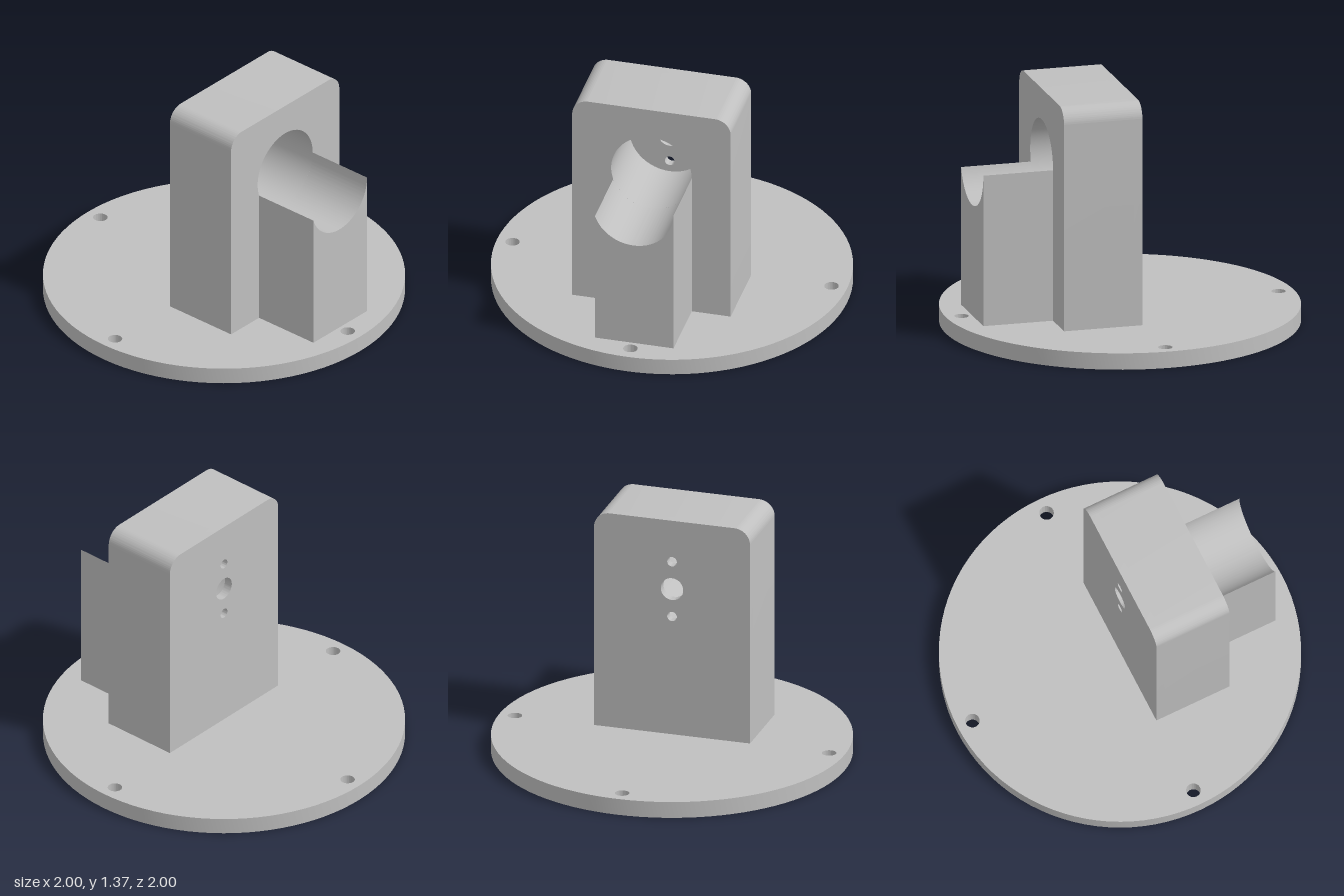
import * as THREE from 'three';
import { toCreasedNormals } from 'three/addons/utils/BufferGeometryUtils.js';

const BASE_TOP = 0.094, TOP = 1.365, HALF = 0.452, CORNER = 0.09;
const AXIS_Y = 0.958, BORE = 0.23;

function circle(x, y, r) {
  return new THREE.Path().absarc(x, y, r, 0, Math.PI * 2, true);
}

function extrude(shape, depth) {
  return new THREE.ExtrudeGeometry(shape, { depth, bevelEnabled: false, curveSegments: 48 });
}

// Upright outline with rounded top corners
function uprightShape(holes) {
  const s = new THREE.Shape();
  s.moveTo(-HALF, BASE_TOP);
  s.lineTo(HALF, BASE_TOP);
  s.lineTo(HALF, TOP - CORNER);
  s.absarc(HALF - CORNER, TOP - CORNER, CORNER, 0, Math.PI / 2, false);
  s.lineTo(-HALF + CORNER, TOP);
  s.absarc(-HALF + CORNER, TOP - CORNER, CORNER, Math.PI / 2, Math.PI, false);
  s.closePath();
  s.holes.push(...holes);
  return s;
}

export function createModel() {
  const group = new THREE.Group();
  const grey = new THREE.MeshStandardMaterial({ color: 0xbfbfbf });
  grey.name = 'grey';

  function add(name, geometry) {
    const mesh = new THREE.Mesh(toCreasedNormals(geometry, 0.5), grey);
    mesh.name = name;
    group.add(mesh);
  }
  // Extrudes a side profile (drawn as -z, y) along +x, starting at x0
  const addSide = (name, shape, x0, x1) =>
    add(name, extrude(shape, x1 - x0).rotateY(Math.PI / 2).translate(x0, 0, 0));

  // Round base with four mounting holes
  const disc = new THREE.Shape().absarc(0, 0, 1, 0, Math.PI * 2, false);
  for (const [x, y] of [[1, 0], [0, 1], [-1, 0], [0, -1]]) {
    disc.holes.push(circle(x * 0.91, y * 0.91, 0.04));
  }
  add('base', extrude(disc, BASE_TOP).rotateX(-Math.PI / 2));

  // Thin wall closing the bore, with shaft and screw holes
  addSide('backWall', uprightShape([
    circle(0, AXIS_Y, 0.065),
    circle(0, AXIS_Y + 0.163, 0.028),
    circle(0, AXIS_Y - 0.163, 0.028),
  ]), 0, 0.05);

  // Upright block with the large bore
  addSide('upright', uprightShape([circle(0, AXIS_Y, BORE)]), 0.05, 0.45);

  // Cradle whose hollow top continues the bore
  const front = -0.218;
  const startAngle = Math.PI + Math.acos(-front / BORE);
  const cradle = new THREE.Shape();
  cradle.moveTo(BORE, AXIS_Y);
  cradle.absarc(0, AXIS_Y, BORE, Math.PI * 2, startAngle, true);
  cradle.lineTo(front, BASE_TOP);
  cradle.lineTo(BORE, BASE_TOP);
  cradle.closePath();
  addSide('cradle', cradle, 0.45, 0.85);

  return group;
}
